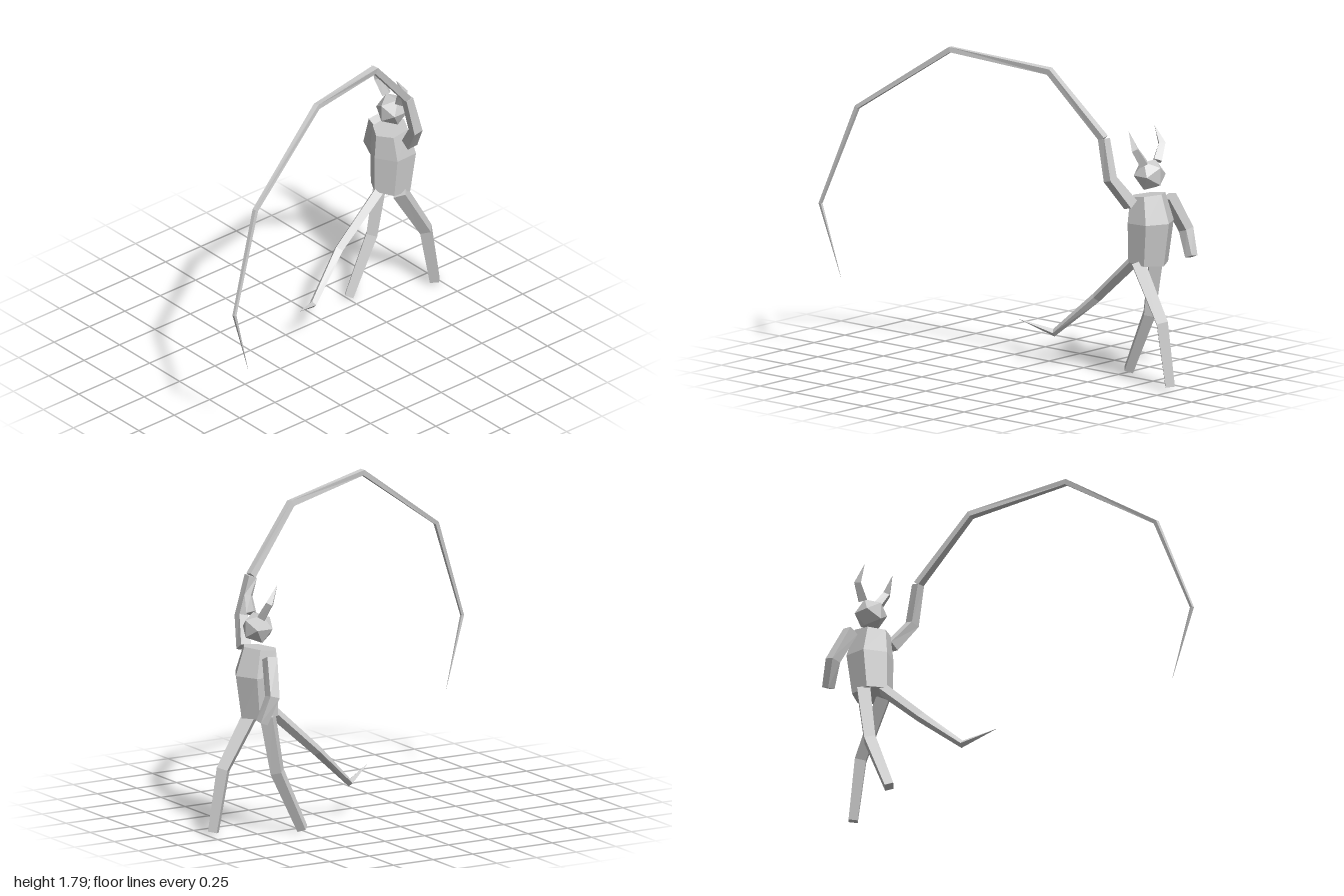
import * as THREE from 'three';

const grey = new THREE.MeshStandardMaterial({ color: 0xcccccc, flatShading: true });
grey.name = 'plain grey';

// Faceted limb: stations are [x, y, z, radius]; corners start from the ref direction
function limb(name, stations, { sides = 4, ref = [1, 0, 0], turn = 0 } = {}) {
  const centres = stations.map(([x, y, z]) => new THREE.Vector3(x, y, z));
  const last = centres.length - 1;
  const refDir = new THREE.Vector3(...ref);
  const direction = (i) => centres[i + 1].clone().sub(centres[i]).normalize();
  const positions = [];
  const index = [];

  centres.forEach((c, i) => {
    const t = new THREE.Vector3();
    if (i > 0) t.add(direction(i - 1));
    if (i < last) t.add(direction(i));
    t.normalize();
    const u = refDir.clone().addScaledVector(t, -t.dot(refDir)).normalize();
    const v = t.clone().cross(u);
    const r = stations[i][3];
    for (let j = 0; j < sides; j++) {
      const a = turn + (j / sides) * Math.PI * 2;
      const p = c.clone().addScaledVector(u, r * Math.cos(a)).addScaledVector(v, r * Math.sin(a));
      positions.push(p.x, p.y, p.z);
    }
  });

  for (let i = 0; i < last; i++) {
    for (let j = 0; j < sides; j++) {
      const a = i * sides + j;
      const b = i * sides + ((j + 1) % sides);
      index.push(a, b, b + sides, a, b + sides, a + sides);
    }
  }
  // End caps
  for (let j = 1; j < sides - 1; j++) {
    const e = last * sides;
    index.push(0, j + 1, j, e, e + j, e + j + 1);
  }

  let geometry = new THREE.BufferGeometry();
  geometry.setAttribute('position', new THREE.Float32BufferAttribute(positions, 3));
  geometry.setIndex(index);
  geometry = geometry.toNonIndexed();
  geometry.computeVertexNormals();
  const mesh = new THREE.Mesh(geometry, grey);
  mesh.name = name;
  return mesh;
}

export function createModel() {
  const model = new THREE.Group();
  model.name = 'hornedFigure';
  const midX = -0.235;
  const square = { turn: Math.PI / 4 };

  // Six-sided body
  model.add(limb('torso', [
    [midX, 0.66, -0.728, 0.113],
    [midX, 0.885, -0.746, 0.131],
    [midX, 1.03, -0.725, 0.1],
  ], { sides: 6, ref: [0, 0, 1] }));

  // Head
  const head = new THREE.Mesh(new THREE.IcosahedronGeometry(0.09, 0), grey);
  head.name = 'head';
  head.position.set(midX, 1.142, -0.739);
  model.add(head);

  // Horns
  for (const [side, name] of [[1, 'leftHorn'], [-1, 'rightHorn']]) {
    model.add(limb(name, [
      [midX + side * 0.055, 1.21, -0.745, 0.031],
      [midX + side * 0.11, 1.295, -0.73, 0.025],
      [midX + side * 0.105, 1.39, -0.68, 0.0005],
    ], { ref: [0, 0, 1] }));
  }

  // Arms
  model.add(limb('leftArm', [
    [-0.085, 1.0, -0.735, 0.043],
    [0.024, 1.15, -0.685, 0.038],
    [0.016, 1.365, -0.632, 0.033],
  ], { ...square, ref: [0, 0, 1] }));
  model.add(limb('rightArm', [
    [-0.378, 1.0, -0.75, 0.043],
    [-0.472, 0.81, -0.79, 0.041],
    [-0.453, 0.67, -0.845, 0.034],
  ], { ...square, ref: [0, 0, 1] }));

  // Legs, striding
  model.add(limb('leftLeg', [
    [-0.158, 0.665, -0.725, 0.05],
    [-0.15, 0.36, -0.905, 0.043],
    [-0.147, 0.019, -0.965, 0.035],
  ]));
  model.add(limb('rightLeg', [
    [-0.308, 0.665, -0.72, 0.05],
    [-0.315, 0.35, -0.665, 0.043],
    [-0.322, 0.016, -0.51, 0.034],
  ]));

  // Tail
  model.add(limb('tail', [
    [-0.232, 0.665, -0.645, 0.034],
    [-0.23, 0.41, -0.36, 0.029],
    [-0.16, 0.19, -0.115, 0.021],
    [-0.068, 0.255, 0.055, 0.0005],
  ]));

  // Long whip arching forward from the raised hand
  model.add(limb('whip', [
    [0.015, 1.365, -0.63, 0.028],
    [0.108, 1.708, -0.322, 0.025],
    [0.285, 1.776, 0.235, 0.021],
    [0.422, 1.4, 0.785, 0.016],
    [0.49, 0.85, 0.99, 0.011],
    [0.46, 0.455, 0.87, 0.0005],
  ], square));

  return model;
}
